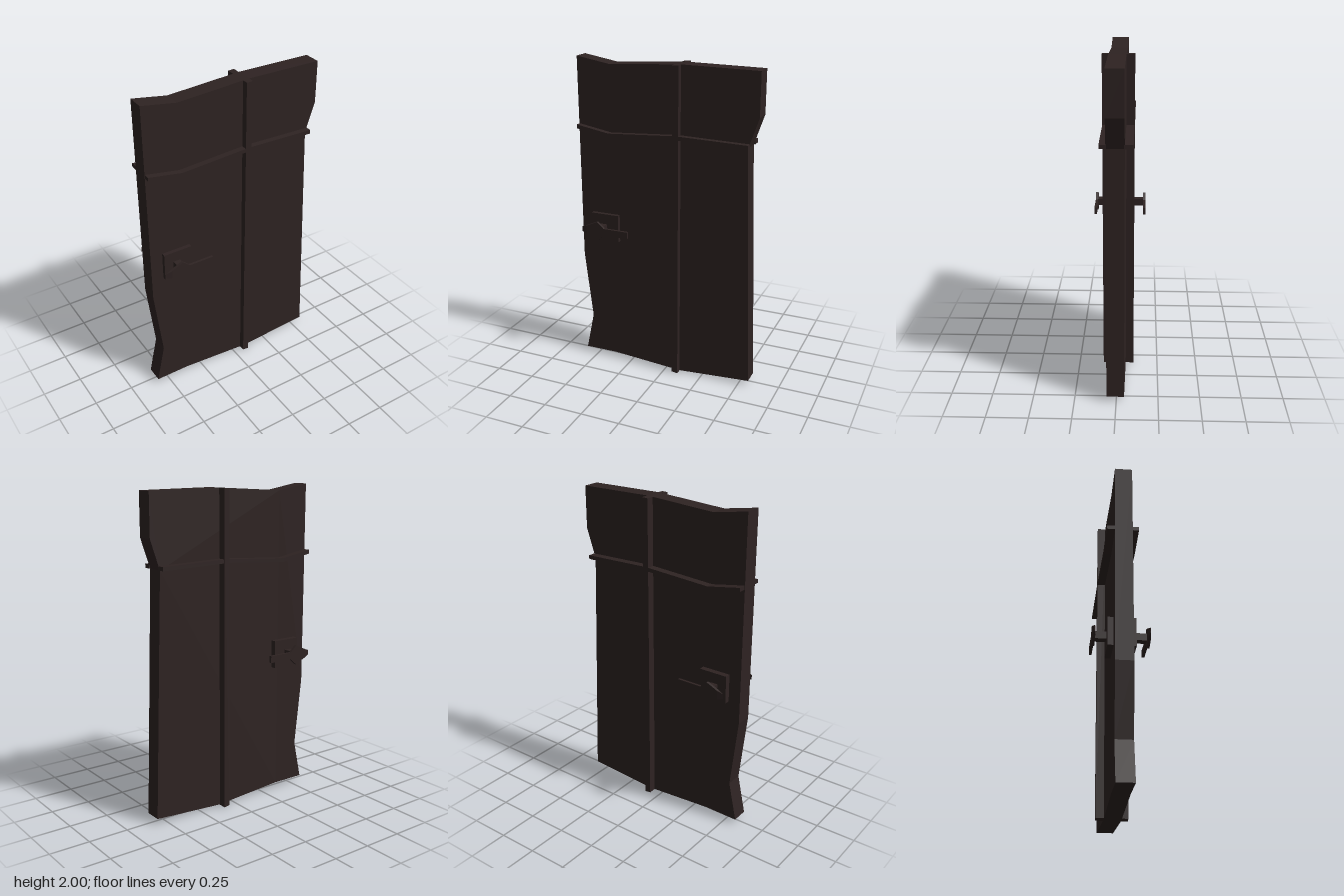
import * as THREE from 'three';

const wood = new THREE.MeshStandardMaterial({ color: 0x2e2322 });
wood.name = 'darkWood';

// Extrude an outline drawn in x,y between two depths
function slab(name, points, z0, z1) {
  const shape = new THREE.Shape(points.map(([x, y]) => new THREE.Vector2(x, y)));
  const geo = new THREE.ExtrudeGeometry(shape, { depth: z1 - z0, bevelEnabled: false });
  geo.translate(0, 0, z0);
  const mesh = new THREE.Mesh(geo, wood);
  mesh.name = name;
  return mesh;
}

function box(name, x0, x1, y0, y1, z0, z1) {
  const geo = new THREE.BoxGeometry(x1 - x0, y1 - y0, z1 - z0);
  geo.translate((x0 + x1) / 2, (y0 + y1) / 2, (z0 + z1) / 2);
  const mesh = new THREE.Mesh(geo, wood);
  mesh.name = name;
  return mesh;
}

// Lever lofted through rectangular sections [x, half height, half thickness]
function lever(z) {
  const sections = [
    [-0.53, 0.015, 0.0005], [-0.495, 0.028, 0.008], [-0.42, 0.062, 0.008],
    [-0.375, 0.022, 0.008], [-0.214, 0.022, 0.008],
  ];
  const pos = [], index = [];
  for (const [x, h, t] of sections)
    for (const [sy, sz] of [[-1, -1], [1, -1], [1, 1], [-1, 1]]) pos.push(x, 0.934 + sy * h, z + sz * t);
  for (let s = 0; s < sections.length - 1; s++)
    for (let k = 0; k < 4; k++) {
      const a = s * 4 + k, b = s * 4 + (k + 1) % 4;
      index.push(a, b + 4, b, a, a + 4, b + 4);
    }
  const e = (sections.length - 1) * 4;
  index.push(0, 1, 2, 0, 2, 3, e, e + 2, e + 1, e, e + 3, e + 2);
  // reverse winding so that faces point outward
  for (let i = 0; i < index.length; i += 3) [index[i + 1], index[i + 2]] = [index[i + 2], index[i + 1]];
  let geo = new THREE.BufferGeometry();
  geo.setAttribute('position', new THREE.Float32BufferAttribute(pos, 3));
  geo.setIndex(index);
  geo = geo.toNonIndexed();
  // flip if the signed volume is negative
  const p = geo.attributes.position;
  let volume = 0;
  const [a, b, c] = [0, 1, 2].map(() => new THREE.Vector3());
  for (let i = 0; i < p.count; i += 3) {
    a.fromBufferAttribute(p, i); b.fromBufferAttribute(p, i + 1); c.fromBufferAttribute(p, i + 2);
    volume += a.dot(b.cross(c));
  }
  if (volume < 0)
    for (let i = 0; i < p.count; i += 3) {
      b.fromBufferAttribute(p, i + 1); c.fromBufferAttribute(p, i + 2);
      p.setXYZ(i + 1, c.x, c.y, c.z); p.setXYZ(i + 2, b.x, b.y, b.z);
    }
  geo.computeVertexNormals();
  const mesh = new THREE.Mesh(geo, wood);
  mesh.name = 'lever';
  return mesh;
}

export function createModel() {
  const door = new THREE.Group();
  door.name = 'door';

  // Crooked door panel
  const back = -0.047, front = 0.058;
  door.add(slab('panel', [
    [-0.58, 0.035], [-0.365, 0.037], [0.096, 0.003], [0.565, 0.035], [0.513, 1.54], [0.575, 1.722],
    [0.575, 1.984], [0.097, 1.99], [-0.362, 1.963], [-0.58, 2], [-0.577, 0.72], [-0.527, 0.283],
  ], back, front));

  // Trim and handle on both faces
  const rail = [[-0.577, 1.587], [-0.362, 1.55], [0.078, 1.577], [0.523, 1.566]];
  const railOutline = [...rail.map(([x, y]) => [x, y - 0.024]), ...rail.slice().reverse()];
  for (const side of [1, -1]) {
    const face = side > 0 ? front : back;
    const span = (d0, d1) => (side > 0 ? [d0, d1] : [-d1, -d0]);
    const base = Math.abs(face) - 0.004;
    const group = new THREE.Group();
    group.name = side > 0 ? 'frontFittings' : 'backFittings';
    group.add(slab('crossRail', railOutline, ...span(base, 0.095)));
    group.add(slab('uprightRail', [[0.058, 0.006], [0.097, 0], [0.097, 1.99], [0.058, 1.988]], ...span(base, 0.096)));
    group.add(box('handlePlate', -0.5, -0.315, 0.846, 1.022, ...span(base, 0.083)));
    group.add(box('handleStem', -0.441, -0.395, 0.912, 0.956, ...span(0.07, 0.153)));
    group.add(lever(side * 0.158));
    door.add(group);
  }
  return door;
}
